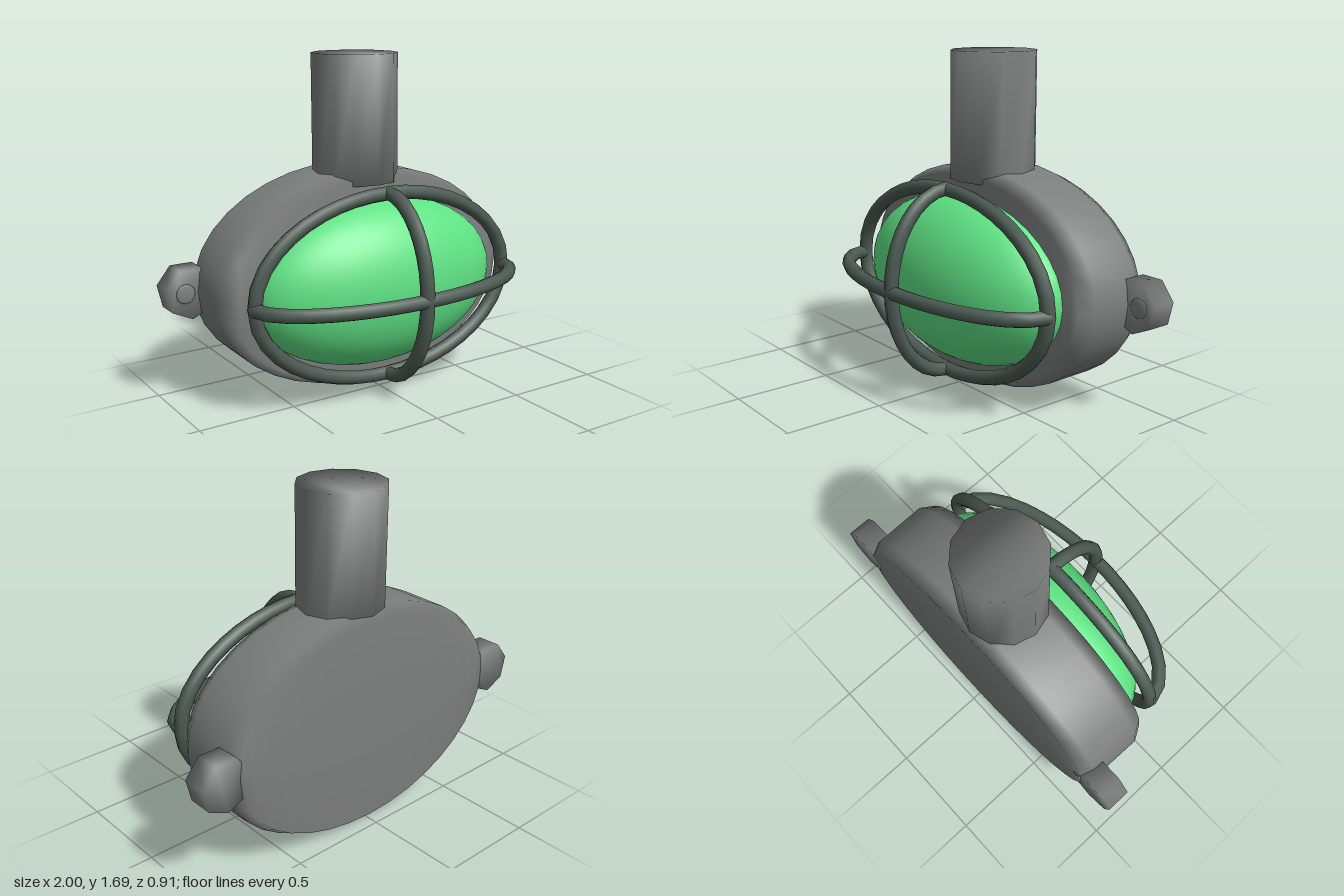
import * as THREE from 'three';

const material = (name, color) => Object.assign(new THREE.MeshStandardMaterial({ color }), { name });
const CY = 0.57; // height of the lamp's centre

// Closed solid through elliptical rings [rx, ry, z] along z, with smooth shared normals
function loft(rings, sides, start = 0) {
  const pos = [], idx = [];
  for (const [rx, ry, z] of rings)
    for (let i = 0; i < sides; i++) {
      const a = start + (i / sides) * Math.PI * 2;
      pos.push(rx * Math.cos(a), ry * Math.sin(a), z);
    }
  for (let r = 0; r < rings.length - 1; r++)
    for (let i = 0; i < sides; i++) {
      const a = r * sides + i, b = r * sides + ((i + 1) % sides);
      idx.push(a, b, b + sides, a, b + sides, a + sides);
    }
  // end caps as zigzag strips
  const last = (rings.length - 1) * sides;
  for (let lo = 0, hi = sides - 1, flip = false; hi - lo > 1; flip = !flip) {
    const mid = flip ? hi - 1 : lo + 1;
    idx.push(lo, hi, mid, last + lo, last + mid, last + hi);
    if (flip) hi--; else lo++;
  }
  const g = new THREE.BufferGeometry();
  g.setAttribute('position', new THREE.Float32BufferAttribute(pos, 3));
  g.setIndex(idx);
  g.computeVertexNormals();
  return g;
}

// Round bar following a function of the angle from a0 to a1
function bar(point, a0, a1, steps, closed) {
  const pts = [];
  const n = closed ? steps : steps + 1;
  for (let i = 0; i < n; i++) pts.push(point(a0 + ((a1 - a0) * i) / steps));
  const curve = new THREE.CatmullRomCurve3(pts, closed);
  return new THREE.TubeGeometry(curve, steps, 0.036, 8, closed);
}

export function createModel() {
  const model = new THREE.Group();
  model.name = 'bulkheadLamp';
  const grey = material('grey metal', 0x7b7f7d);
  const dark = material('dark cage metal', 0x4c5a52);
  const green = material('green glass', 0x5fe284);

  const add = (name, geometry, mat, x = 0, y = 0, z = 0) => {
    const mesh = new THREE.Mesh(geometry, mat);
    mesh.name = name;
    mesh.position.set(x, y, z);
    model.add(mesh);
    return mesh;
  };

  // oval housing with bevelled rims
  add('housing', loft([
    [0.8, 0.53, -0.455], [0.835, 0.56, -0.39], [0.84, 0.56, -0.12], [0.795, 0.52, -0.045],
  ], 36), grey, 0, CY);

  // domed glass
  const dome = new THREE.SphereGeometry(1, 36, 12, 0, Math.PI * 2, 0, Math.PI / 2);
  dome.rotateX(Math.PI / 2);
  dome.scale(0.7, 0.43, 0.325);
  add('glass', dome, green, 0, CY, -0.047);

  // supply pipe on top
  const pipe = loft([[0.217, 0.217, 1.06], [0.217, 0.217, 1.7]], 12);
  pipe.rotateX(-Math.PI / 2);
  add('pipe', pipe, grey, 0, 0, -0.218);

  // guard cage: one oval ring and two crossing bows
  const V = (x, y, z) => new THREE.Vector3(x, y, z);
  const RX = 0.739, RY = 0.465, RZ = 0.335;
  add('cageRing', bar(a => V(RX * Math.cos(a), RY * Math.sin(a), 0), 0, Math.PI * 2, 40, true), dark, 0, CY, 0.081);
  add('cageBowAcross', bar(a => V((RX + 0.003) * Math.cos(a), 0, RZ * Math.sin(a)), 0, Math.PI, 18, false), dark, 0, CY, 0.081);
  add('cageBowUpright', bar(a => V(0, (RY + 0.003) * Math.cos(a), RZ * Math.sin(a)), 0, Math.PI, 18, false), dark, 0, CY, 0.081);

  // seven-sided mounting lugs with low screw heads
  for (const s of [1, -1]) {
    const side = s > 0 ? 'left' : 'right';
    const start = s > 0 ? 0.22 : Math.PI - 0.22;
    add(side + 'Lug', loft([[0.133, 0.133, -0.455], [0.133, 0.133, -0.33]], 7, start), grey, s * 0.868, CY);
    const head = new THREE.SphereGeometry(1, 12, 4, 0, Math.PI * 2, 0, Math.PI / 2);
    head.rotateX(Math.PI / 2);
    head.scale(0.05, 0.05, 0.008);
    add(side + 'Screw', head, grey, s * 0.9, CY, -0.33);
  }
  return model;
}
